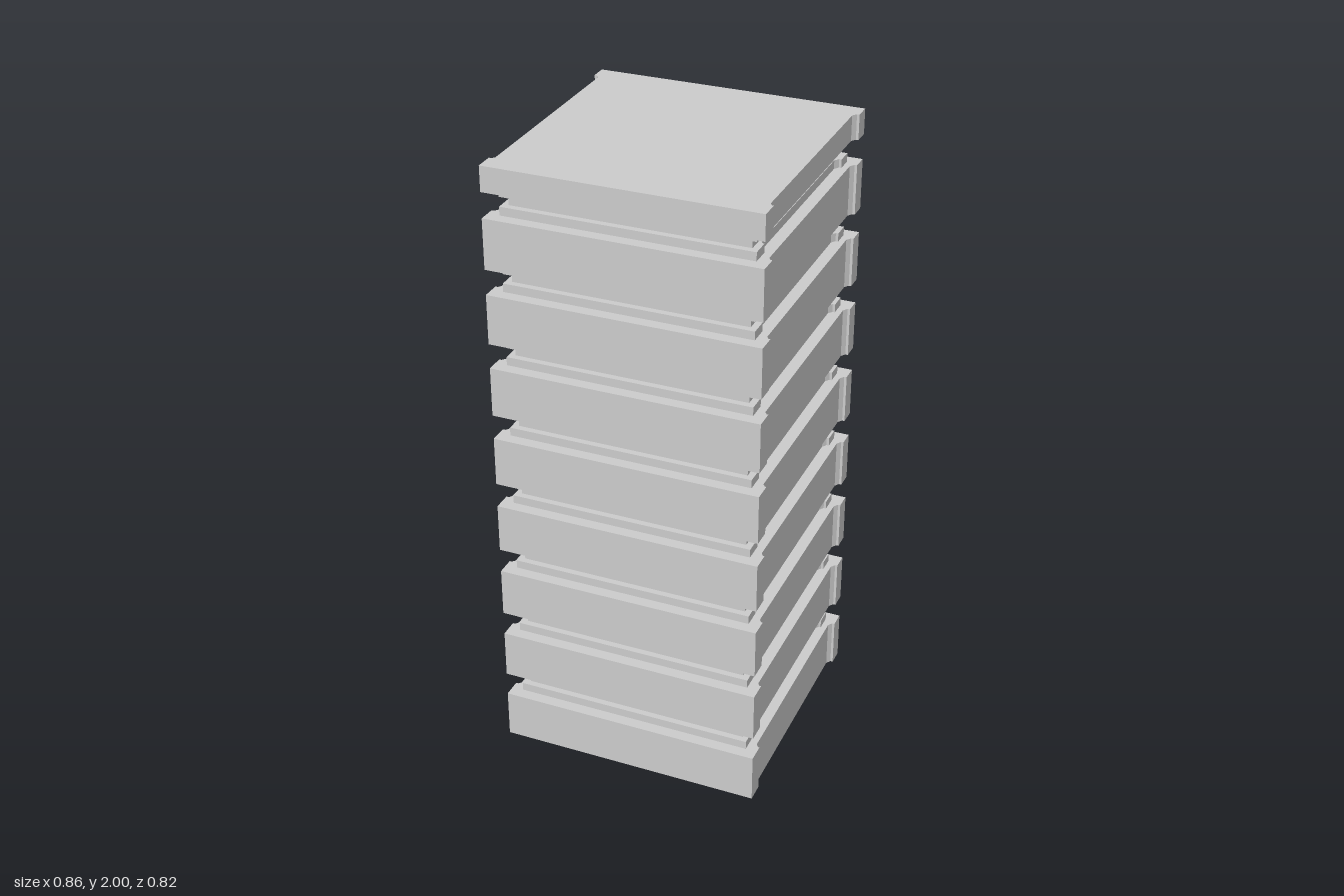
import * as THREE from 'three';

const material = new THREE.MeshStandardMaterial({ color: 0xcccccc, flatShading: true });

// Plan outline (x, z): a square with thin flanges at the four corners, shrunk by an inset
function outline(inset) {
  const i = inset;
  const side = (s, front, back) => [
    [s * (front - i), 0.41 - i],
    [s * (front - i), 0.35 - i],
    [s * (0.418 - i), 0.35 - i],
    [s * (0.41 - i), 0.34 - i],
    [s * (0.41 - i), -0.345 + i],
    [s * (0.42 - i), -0.36 + i],
    [s * (back - i), -0.36 + i],
    [s * (back - i), -0.413 + i],
  ];
  const points = [...side(1, 0.423, 0.428), ...side(-1, 0.426, 0.428).reverse()];
  return new THREE.Shape(points.map(([x, z]) => new THREE.Vector2(x, -z)));
}

// Horizontal layer of the stack between two heights
function layer(name, inset, y0, y1) {
  const geometry = new THREE.ExtrudeGeometry(outline(inset), { depth: y1 - y0, bevelEnabled: false });
  geometry.rotateX(-Math.PI / 2);
  const mesh = new THREE.Mesh(geometry, material);
  mesh.name = name;
  mesh.position.y = y0;
  return mesh;
}

export function createModel() {
  const model = new THREE.Group();
  model.name = 'bandedColumn';
  const pitch = 0.24, bandHeight = 0.16, overlap = 0.01;

  // Core seen at the bottom of every groove
  model.add(layer('core', 0.057, 0.02, 1.98));

  for (let n = 0; n < 9; n++) {
    const y = n * pitch;
    const top = Math.min(y + bandHeight, 2);
    // Wide band; the last one is a half-height cap
    model.add(layer(n === 8 ? 'topCap' : 'band', 0, y, top));
    // Stepped ledges above and below each groove
    if (n < 8) {
      model.add(layer('lowerLedge', 0.037, top - overlap, top + 0.027));
      model.add(layer('upperLedge', 0.037, y + pitch - 0.023, y + pitch + overlap));
    }
  }
  return model;
}
